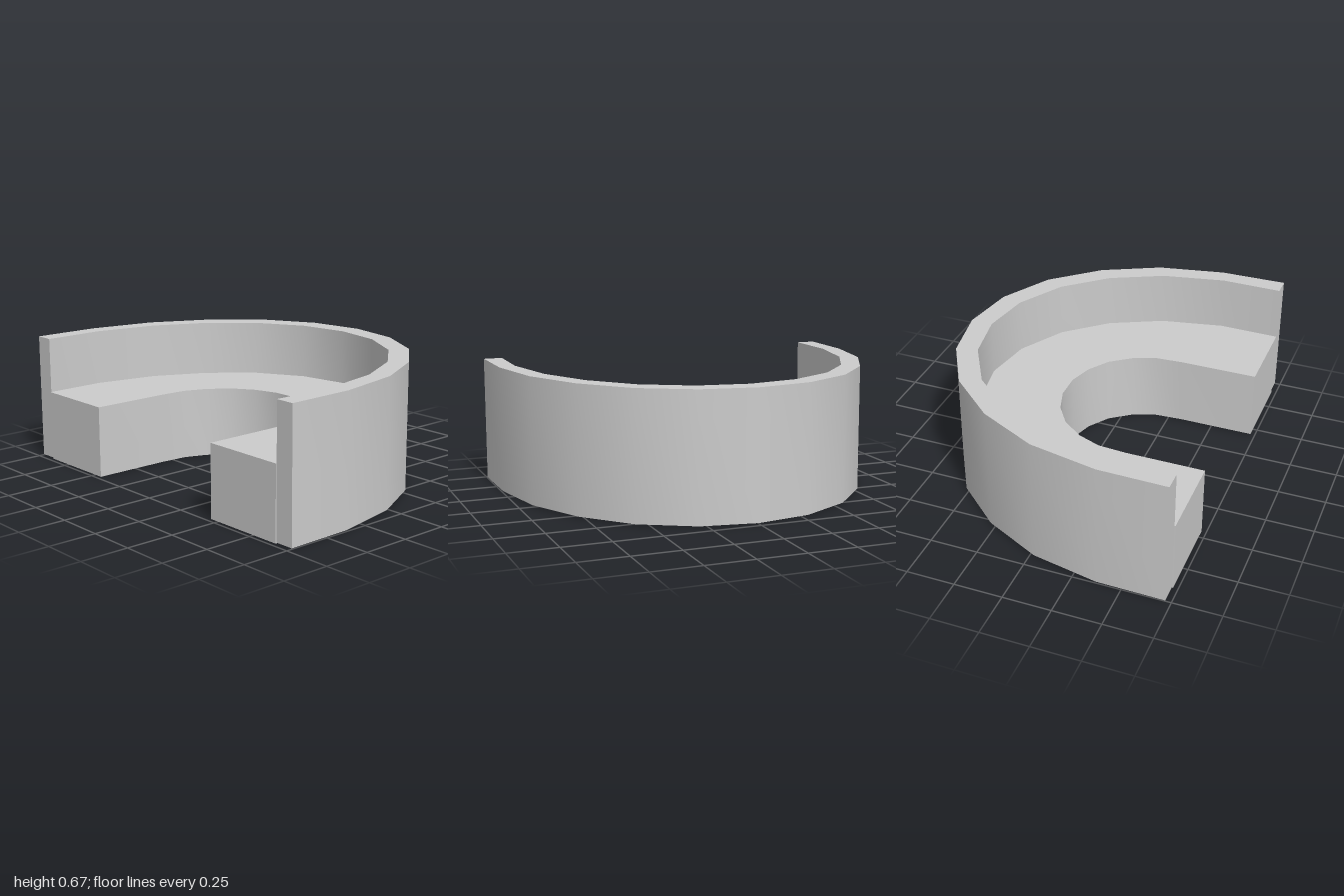
import * as THREE from 'three';
import { toCreasedNormals } from 'three/addons/utils/BufferGeometryUtils.js';

// Half outlines in plan (x, z), from the open end round to the middle
const outerArc = [[-0.72, 1], [-0.37, 0.995], [-0.02, 0.925], [0.28, 0.775], [0.52, 0.56], [0.67, 0.29], [0.72, 0]];
const wallArc = [[-0.72, 0.9], [-0.4, 0.905], [-0.07, 0.837], [0.205, 0.702], [0.42, 0.51], [0.56, 0.263], [0.605, 0]];
const seatArc = [[-0.725, 0.45], [-0.32, 0.45], [-0.17, 0.44], [-0.05, 0.393], [0.06, 0.31], [0.135, 0.198], [0.175, 0.07]];

// Mirror a half outline in z to make the full C-shaped curve
function fullArc(half) {
  const mirrored = half.filter(([, z]) => z > 0).map(([x, z]) => [x, -z]).reverse();
  return [...half, ...mirrored];
}

// Upright band between two curves, from height y0 to y1
function band(name, outer, inner, y0, y1, material) {
  const points = [...fullArc(outer), ...fullArc(inner).reverse()];
  const shape = new THREE.Shape(points.map(([x, z]) => new THREE.Vector2(x, z)));
  const extruded = new THREE.ExtrudeGeometry(shape, { depth: y1 - y0, bevelEnabled: false });
  extruded.rotateX(-Math.PI / 2).translate(0, y0, 0);
  const mesh = new THREE.Mesh(toCreasedNormals(extruded, 0.6), material);
  mesh.name = name;
  return mesh;
}

export function createModel() {
  const group = new THREE.Group();
  group.name = 'curvedBooth';
  const grey = new THREE.MeshStandardMaterial({ color: 0xcccccc });

  // Tall curved backrest
  group.add(band('backrest', outerArc, wallArc, 0.004, 0.667, grey));

  // Lower seat filling the inside, ends just proud of the backrest
  const seatOuter = wallArc.map(([x, z], i) => [i === 0 ? -0.725 : x, z]);
  group.add(band('seat', seatOuter, seatArc, 0, 0.375, grey));

  return group;
}
